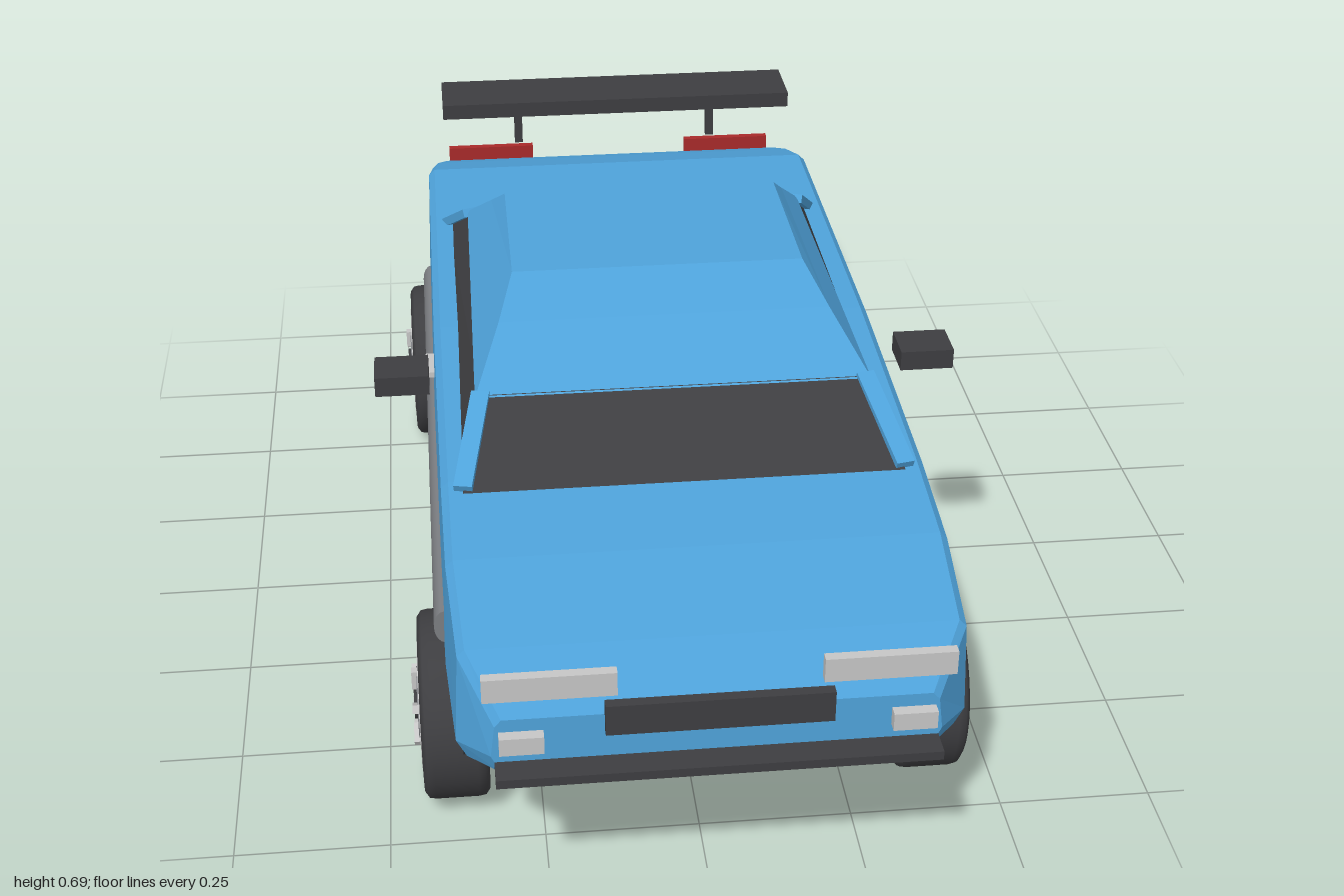
import * as THREE from 'three';

const mat = (name, color, opts = {}) => {
  const m = new THREE.MeshStandardMaterial({ color, ...opts });
  m.name = name;
  return m;
};

export function createModel() {
  const car = new THREE.Group();
  car.name = 'car';
  const paint = mat('bluePaint', 0x4fa3db, { flatShading: true });
  const dark = mat('darkTrim', 0x3e3e41);
  const black = mat('underside', 0x242426);
  const light = mat('paleMetal', 0xc6c6c6);
  const grey = mat('greyMetal', 0x7c7e82);
  const red = mat('redLamp', 0xa82a2a);

  const add = (name, geo, material, x = 0, y = 0, z = 0, parent = car) => {
    const m = new THREE.Mesh(geo, material);
    m.name = name;
    m.position.set(x, y, z);
    parent.add(m);
    return m;
  };
  // box given by its extents on each axis
  const box = (name, material, x0, x1, y0, y1, z0, z1, parent = car) =>
    add(name, new THREE.BoxGeometry(x1 - x0, y1 - y0, z1 - z0), material,
      (x0 + x1) / 2, (y0 + y1) / 2, (z0 + z1) / 2, parent);
  // the same box on both sides of the car
  const pair = (name, material, x0, x1, ...rest) => {
    box(name + 'Left', material, x0, x1, ...rest);
    box(name + 'Right', material, -x1, -x0, ...rest);
  };
  // flat-faced solid through rings of equal point count, closed at both ends
  const loft = (rings) => {
    const v = [], n = rings[0].length, last = rings[rings.length - 1];
    const tri = (a, b, c) => v.push(...a, ...b, ...c);
    for (let i = 0; i < rings.length - 1; i++) {
      for (let j = 0; j < n; j++) {
        const k = (j + 1) % n, p = rings[i], q = rings[i + 1];
        tri(p[j], p[k], q[k]);
        tri(p[j], q[k], q[j]);
      }
    }
    for (let j = 1; j < n - 1; j++) {
      tri(last[0], last[j], last[j + 1]);
      tri(rings[0][0], rings[0][j + 1], rings[0][j]);
    }
    const g = new THREE.BufferGeometry();
    g.setAttribute('position', new THREE.Float32BufferAttribute(v, 3));
    g.computeVertexNormals();
    return g;
  };

  // body shell: z, half width, bottom, top
  const sections = [
    [-0.93, 0.335, 0.302, 0.4], [-0.87, 0.37, 0.295, 0.48], [-0.81, 0.39, 0.287, 0.502],
    [-0.69, 0.398, 0.287, 0.54], [0, 0.4, 0.287, 0.54], [0.5, 0.398, 0.287, 0.527],
    [0.7, 0.396, 0.287, 0.511], [0.89, 0.385, 0.287, 0.482], [0.955, 0.335, 0.305, 0.4],
  ];
  add('body', loft(sections.map(([z, w, y0, y1]) => {
    const half = [[w * 0.96, y0], [w, y0 + 0.03], [w * 0.98, y1 - 0.012], [w * 0.95, y1]];
    return [...half, ...half.slice().reverse().map(([x, y]) => [-x, y])].map(([x, y]) => [x, y, z]);
  })), paint);
  box('floorPan', black, -0.375, 0.375, 0.282, 0.29, -0.82, 0.88);

  // cabin: glass band below, painted roof above
  const rect = (y, wf, zf, wb, zb) => [[-wf, y, zf], [wf, y, zf], [wb, y, zb], [-wb, y, zb]];
  add('windows', loft([rect(0.525, 0.355, 0.535, 0.355, -0.455), rect(0.602, 0.32, 0.36, 0.312, -0.35)]), dark);
  add('roof', loft([
    rect(0.6, 0.328, 0.365, 0.318, -0.355),
    rect(0.658, 0.281, 0.215, 0.274, -0.275),
    rect(0.694, 0.252, 0.1, 0.25, -0.222),
  ]), paint);
  const pillar = (name, a, b) => {
    const p = new THREE.Vector3(...a), q = new THREE.Vector3(...b);
    const m = add(name, new THREE.BoxGeometry(0.03, 0.016, p.distanceTo(q)), paint);
    m.position.copy(p).add(q).multiplyScalar(0.5);
    m.lookAt(q);
  };
  for (const s of [1, -1]) {
    pillar('frontPillar', [s * 0.355, 0.53, 0.53], [s * 0.318, 0.602, 0.355]);
    pillar('rearPillar', [s * 0.352, 0.535, -0.45], [s * 0.312, 0.602, -0.345]);
  }

  // front end
  pair('headlight', light, 0.15, 0.345, 0.45, 0.49, 0.962, 0.978);
  pair('fogLight', light, 0.257, 0.323, 0.35, 0.38, 0.957, 0.975);
  box('grille', dark, -0.168, 0.168, 0.38, 0.432, 0.963, 0.98);
  box('frontLip', dark, -0.33, 0.33, 0.309, 0.324, 0.935, 0.998);

  // rear end
  pair('tailLight', red, 0.165, 0.345, 0.457, 0.488, -0.93, -0.915);
  const bumper = add('rearBumper', new THREE.CylinderGeometry(0.026, 0.026, 0.66, 16), grey, 0, 0.366, -0.946);
  bumper.rotation.z = Math.PI / 2;
  pair('bumperGuard', light, 0.213, 0.267, 0.338, 0.372, -1, -0.955);
  box('spoilerWing', dark, -0.355, 0.355, 0.641, 0.671, -0.84, -0.71);
  pair('spoilerPost', dark, 0.192, 0.208, 0.56, 0.643, -0.784, -0.768);

  // sides
  pair('mirror', dark, 0.402, 0.493, 0.549, 0.584, 0.18, 0.255);
  pair('doorHandle', light, 0.392, 0.41, 0.445, 0.455, -0.06, 0.012);
  for (const s of [1, -1]) {
    const sill = add('sideSill', new THREE.CylinderGeometry(0.03, 0.03, 1.225, 16), grey, s * 0.394, 0.342, 0.023);
    sill.rotation.x = Math.PI / 2;
    sill.scale.x = 0.6;
  }

  // wheels: local +y is the outer side
  const tyreProfile = [[0.1, -0.053], [0.143, -0.053], [0.153, -0.046], [0.155, -0.035],
    [0.155, 0.035], [0.153, 0.046], [0.143, 0.053], [0.1, 0.053]].map(([r, h]) => new THREE.Vector2(r, h));
  const tyreGeo = new THREE.LatheGeometry(tyreProfile, 36);
  const disc = (r, h) => new THREE.CylinderGeometry(r, r, h, 32);
  for (const s of [1, -1]) {
    for (const z of [0.587, -0.585]) {
      const wheel = new THREE.Group();
      wheel.name = 'wheel';
      wheel.position.set(s * 0.388, 0.156, z);
      wheel.rotation.z = -s * Math.PI / 2;
      car.add(wheel);
      add('tyre', tyreGeo, dark, 0, 0, 0, wheel);
      add('rim', disc(0.108, 0.11), light, 0, 0, 0, wheel);
      add('hubDisc', disc(0.062, 0.116), grey, 0, 0, 0, wheel);
      add('hubCap', disc(0.024, 0.128), dark, 0, 0, 0, wheel);
      for (let i = 0; i < 6; i++) {
        const a = i * Math.PI / 3;
        const spoke = add('spoke', new THREE.BoxGeometry(0.034, 0.012, 0.014), light,
          Math.cos(a) * 0.052, 0.06, Math.sin(a) * 0.052, wheel);
        spoke.rotation.y = -a;
      }
    }
  }
  return car;
}
